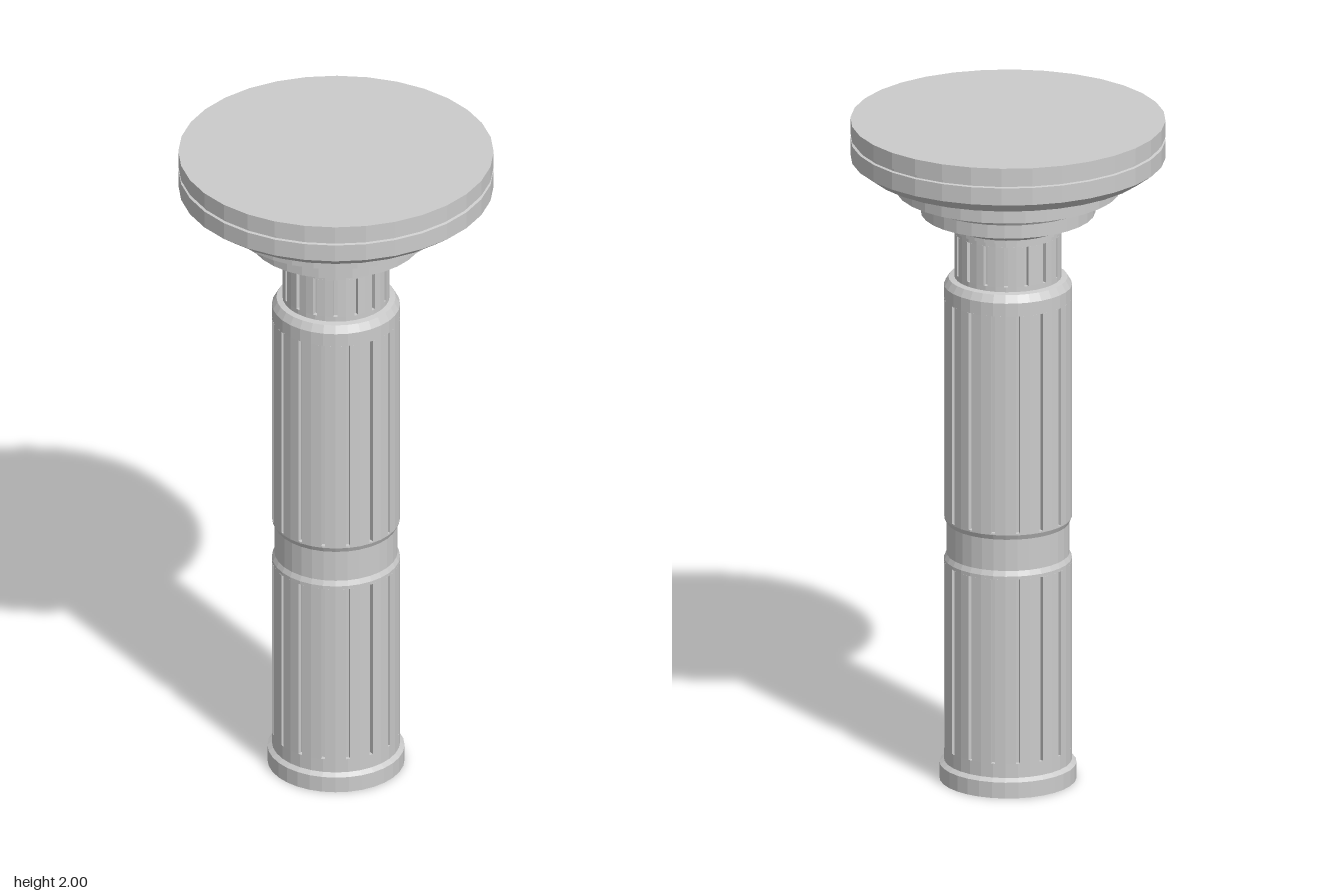
import * as THREE from 'three';

const SIDES = 32;
const BORE = 0.115;

export function createModel() {
  const group = new THREE.Group();
  const material = new THREE.MeshStandardMaterial({ color: 0xcccccc, flatShading: true });

  const add = (name, geometry) => {
    const mesh = new THREE.Mesh(geometry, material);
    mesh.name = name;
    group.add(mesh);
  };

  // Turned solid from [radius, height] pairs, outside running upwards
  const turned = (name, profile) =>
    add(name, new THREE.LatheGeometry(profile.map(([r, y]) => new THREE.Vector2(r, y)), SIDES));

  // Hollow drum with 16 narrow slots cut into alternate corners
  const fluted = (name, radius, y0, y1, firstSlot, halfWidth = 0.006, depth = 0.014) => {
    const shape = new THREE.Shape();
    const points = [];
    const polar = (r, a) => points.push(new THREE.Vector2(r * Math.sin(a), r * Math.cos(a)));
    for (let i = 0; i < SIDES; i++) {
      const a = (i / SIDES) * Math.PI * 2;
      if (i % 2 === firstSlot) {
        const d = halfWidth / radius;
        polar(radius, a - d);
        polar(radius - depth, a - d);
        polar(radius - depth, a + d);
        polar(radius, a + d);
      } else polar(radius, a);
    }
    shape.setFromPoints(points);
    const hole = [];
    for (let i = 0; i < SIDES; i++) {
      const a = (i / SIDES) * Math.PI * 2;
      hole.push(new THREE.Vector2(BORE * Math.sin(a), BORE * Math.cos(a)));
    }
    shape.holes.push(new THREE.Path().setFromPoints(hole));
    const geometry = new THREE.ExtrudeGeometry(shape, { depth: y1 - y0, bevelEnabled: false });
    geometry.rotateX(-Math.PI / 2).translate(0, y0, 0);
    add(name, geometry);
  };

  // Foot with a recessed ring underneath
  turned('base', [
    [BORE, 0.01], [0.14, 0.01], [0.145, 0.025], [0.165, 0.025], [0.17, 0],
    [0.198, 0], [0.198, 0.048], [0.185, 0.058], [0.185, 0.1], [BORE, 0.1], [BORE, 0.01],
  ]);
  fluted('lowerShaft', 0.185, 0.1, 0.66, 0);

  // Slightly sunken plain band
  turned('shaftBand', [
    [BORE, 0.66], [0.185, 0.66], [0.185, 0.67], [0.178, 0.685], [0.178, 0.78],
    [0.185, 0.795], [0.185, 0.8], [BORE, 0.8], [BORE, 0.66],
  ]);
  fluted('upperShaft', 0.185, 0.8, 1.46, 0);

  // Rounded-off shoulder under the neck
  turned('shoulder', [
    [BORE, 1.46], [0.185, 1.46], [0.185, 1.5], [0.172, 1.522], [0.155, 1.525],
    [0.155, 1.54], [BORE, 1.54], [BORE, 1.46],
  ]);
  fluted('neck', 0.155, 1.54, 1.66, 1);

  // Stepped capital
  turned('capital', [
    [0, 1.66], [0.155, 1.66], [0.155, 1.675], [0.165, 1.675], [0.165, 1.685],
    [0.215, 1.71], [0.215, 1.72], [0.252, 1.72], [0.252, 1.76], [0.255, 1.765],
    [0.29, 1.78], [0.29, 1.79], [0.325, 1.79], [0.325, 1.845], [0.33, 1.855],
  ]);

  // Wide round top with a thin groove round its rim
  turned('topPlate', [
    [0, 1.855], [0.41, 1.855], [0.455, 1.888], [0.455, 1.94], [0.447, 1.942],
    [0.447, 1.95], [0.455, 1.952], [0.455, 2], [0, 2],
  ]);

  return group;
}
